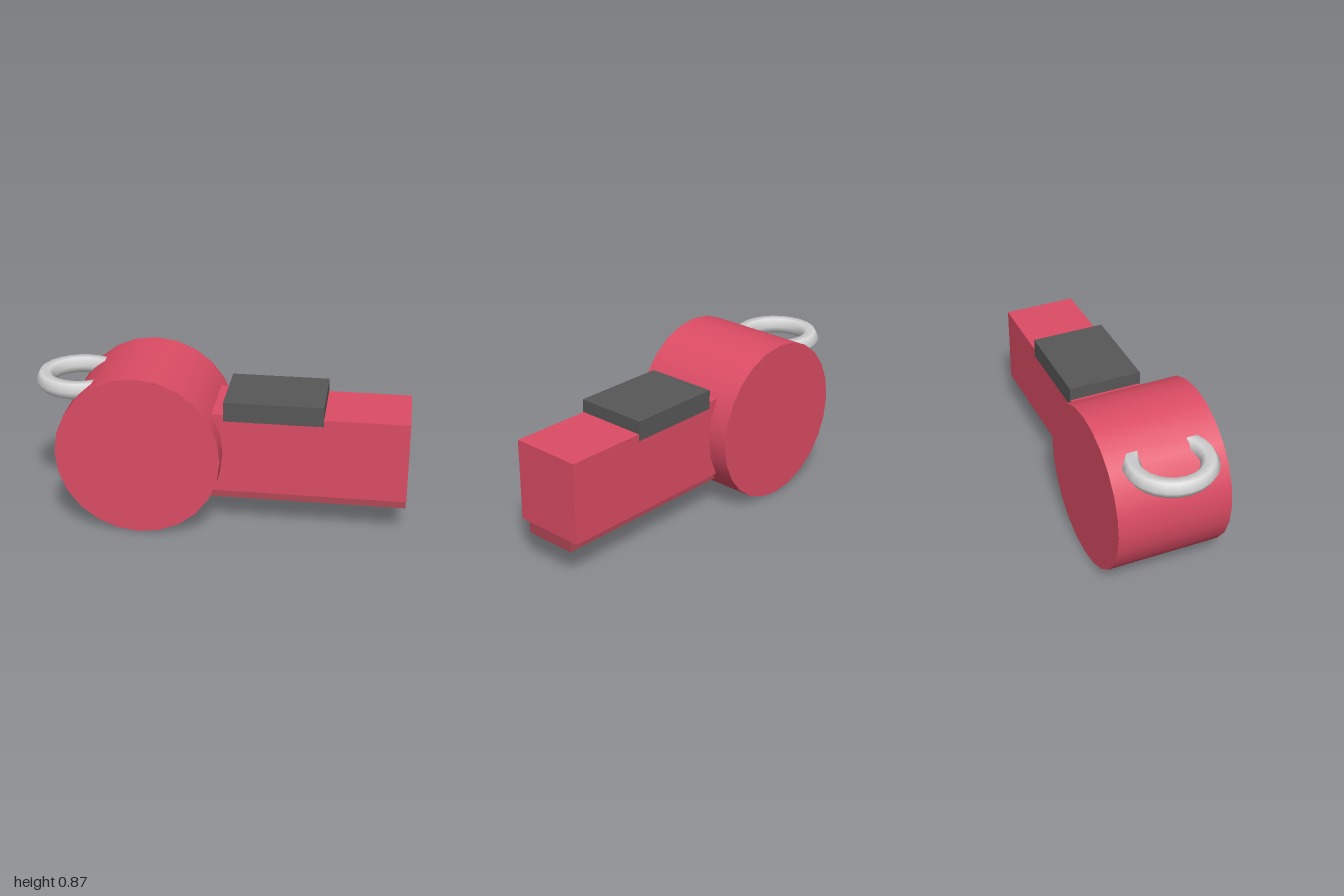
import * as THREE from 'three';

function material(name, color) {
  const m = new THREE.MeshStandardMaterial({ color });
  m.name = name;
  return m;
}

export function createModel() {
  const red = material('red', 0xdc4c64);
  const darkRed = material('dark red', 0xb34756);
  const charcoal = material('charcoal', 0x575757);
  const steel = material('steel', 0xd6d6d6);
  const group = new THREE.Group();
  group.name = 'whistle';

  function add(name, geometry, mat, x, y) {
    const mesh = new THREE.Mesh(geometry, mat);
    mesh.name = name;
    mesh.position.set(x, y, 0);
    group.add(mesh);
    return mesh;
  }

  // Box given by its x and y ranges and its full depth
  function addBox(name, mat, x0, x1, y0, y1, depth) {
    return add(name, new THREE.BoxGeometry(x1 - x0, y1 - y0, depth), mat, (x0 + x1) / 2, (y0 + y1) / 2);
  }

  // Round chamber lying along z
  const chamber = new THREE.CylinderGeometry(0.437, 0.437, 0.616, 24).rotateX(Math.PI / 2);
  add('chamber', chamber, red, -0.405, 0.44);

  // Mouthpiece with a narrower strip below and a cap on top
  addBox('mouthpiece', red, -0.3, 1, 0.222, 0.66, 0.394);
  addBox('lowerStrip', darkRed, -0.25, 0.998, 0.16, 0.24, 0.296);
  addBox('airSlotCap', charcoal, 0.035, 0.557, 0.625, 0.73, 0.402);

  // Lanyard ring, sunk partly into the chamber
  const ring = new THREE.TorusGeometry(0.192, 0.049, 6, 24).rotateX(Math.PI / 2);
  add('lanyardRing', ring, steel, -0.759, 0.75);

  return group;
}
